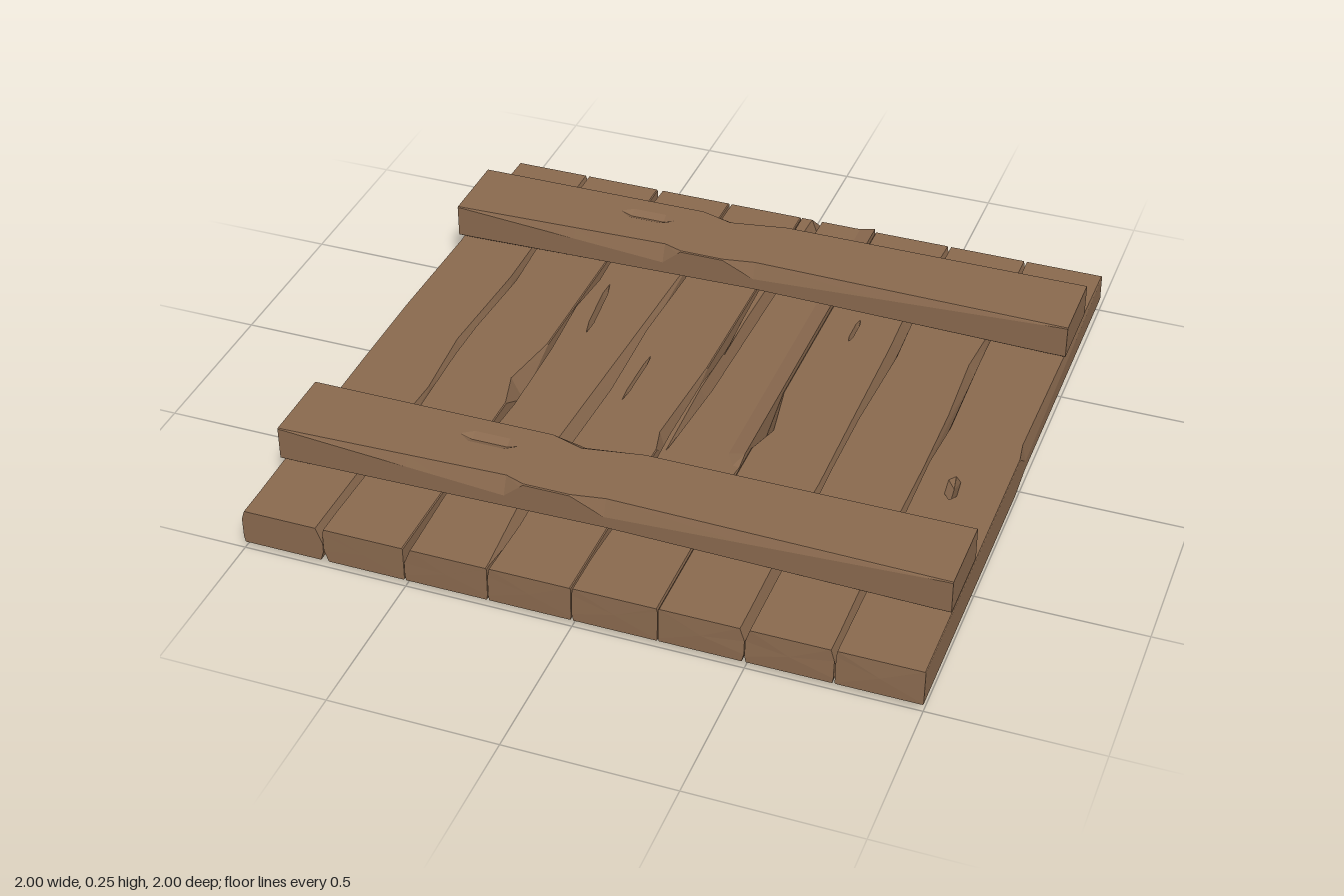
import * as THREE from 'three';

const wood = new THREE.MeshStandardMaterial({ color: 0x89694e });
wood.name = 'brownWood';

// Small seeded generator for the irregular wear
function seeded(seed) {
  let s = seed;
  return () => (s = (s * 16807) % 2147483647) / 2147483647;
}

// Linear interpolation through rows of [z, ...values], held constant beyond the ends
function sample(rows, z) {
  if (z <= rows[0][0]) return rows[0].slice(1);
  for (let i = 1; i < rows.length; i++) {
    const a = rows[i - 1], b = rows[i];
    if (z <= b[0]) {
      const t = (z - a[0]) / (b[0] - a[0]);
      return a.slice(1).map((v, k) => v + (b[k + 1] - v) * t);
    }
  }
  return rows[rows.length - 1].slice(1);
}

// One chip knocked out of an edge, fading to a sharp corner at both ends
const chip = (from, peak, to, dx, dy) => [[from, 0.003, 0.003], [peak, dx, dy], [to, 0.003, 0.003]];

// Uneven wear along a whole edge: a few long splits between nearly sharp stretches
function worn(rand, depth) {
  const rows = [];
  for (let z = -0.98; z < 1; z += 0.15 + 0.25 * rand()) {
    const d = rand() ** 2;
    rows.push([z, 0.002 + d * depth, 0.01 + Math.sqrt(d) * depth * 2]);
  }
  return rows;
}

// V-groove in the top, opening from one tip and closing at the other
const groove = (from, to, x, half, depth, drift = 0) => [
  [from, x, 0.001, 0],
  [from + (to - from) * 0.2, x + drift * 0.2, half, depth],
  [from + (to - from) * 0.8, x + drift * 0.8, half, depth],
  [to, x + drift, 0.001, 0],
];

// A hewn board along z. Corner cuts tl, tr, bl, br are rows [z, dx, dy];
// crack is rows [z, x, halfWidth, depth]; endCut slants the upper half of both ends.
function board(name, width, y0, y1, endCut, cuts) {
  const c = { crack: [[0, 0, 0.001, 0]], ...cuts };
  const stations = new Set([-1, 1]);
  for (const rows of Object.values(c)) for (const [z] of rows) if (Math.abs(z) < 1) stations.add(z);
  const zs = [...stations].sort((a, b) => a - b);
  const R = width / 2, L = -R, mid = (y0 + y1) / 2;
  const rings = zs.map((z) => {
    const [tl, tr, bl, br, [x, w, d]] =
      [c.tl, c.tr, c.bl, c.br, c.crack].map((rows) => sample(rows, z));
    const upperZ = Math.abs(z) === 1 ? z * (1 - endCut) : z;
    return [
      [L + bl[0], y0], [R - br[0], y0], [R, y0 + br[1]],
      [R, y1 - tr[1]], [R - tr[0], y1],
      [x + w, y1], [x, y1 - d], [x - w, y1],
      [L + tl[0], y1], [L, y1 - tl[1]], [L, y0 + bl[1]],
    ].map(([px, py]) => [px, py, py > mid ? upperZ : z]);
  });
  const pos = [];
  const tri = (...pts) => pts.forEach((p) => pos.push(...p));
  const n = rings[0].length, last = rings.length - 1;
  for (let i = 0; i < n; i++) {
    const j = (i + 1) % n;
    for (let k = 0; k < last; k++) {
      tri(rings[k][i], rings[k][j], rings[k + 1][j]);
      tri(rings[k][i], rings[k + 1][j], rings[k + 1][i]);
    }
    tri([0, mid, 1], rings[last][i], rings[last][j]);
    tri([0, mid, -1], rings[0][j], rings[0][i]);
  }
  const geo = new THREE.BufferGeometry();
  geo.setAttribute('position', new THREE.Float32BufferAttribute(pos, 3));
  geo.computeVertexNormals();
  const mesh = new THREE.Mesh(geo, wood);
  mesh.name = name;
  return mesh;
}

// Special damage by plank number; a negative dy is a splinter standing proud of the face
const damage = {
  1: { br: chip(0.3, 0.5, 0.7, 0.09, -0.012), tr: chip(-0.05, 0.15, 0.27, 0.036, 0.07) },
  2: { crack: groove(-0.42, -0.15, -0.07, 0.008, 0.04, 0.03), tr: chip(-0.6, 0.5, 0.98, 0.045, 0.08) },
  3: { crack: groove(-0.1, 0.14, -0.06, 0.005, 0.02), tr: chip(-0.1, 0.25, 0.33, 0.022, 0.08) },
  4: {
    crack: groove(-1.3, 0.33, -0.065, 0.018, 0.05, -0.035),
    tr: [[0.28, 0.05, -0.012], [0.36, 0.003, 0.01]],
    br: [[0.28, 0.12, -0.022], [0.33, 0.003, 0.003], [0.4, 0.12, -0.02], [0.9, 0.003, 0.003]],
  },
  5: { tl: chip(-0.06, 0.13, 0.23, 0.034, 0.07), crack: groove(-0.5, -0.38, -0.02, 0.006, 0.03) },
  7: {
    crack: groove(0.16, 0.27, -0.03, 0.018, 0.03, 0.01),
    tr: [[-1, 0.002, 0.003], [-0.05, 0.012, 0.055], [0.02, 0.002, 0.003]],
    bl: [[0.28, 0.07, -0.022], [0.33, 0.003, 0.003]],
    br: [[-0.05, 0.015, 0.022], [0.05, 0.002, 0.003]],
  },
};

// Local -x of a cross batten faces the front once it is turned to run along x
const battenCuts = {
  tl: [...chip(-0.98, -0.3, -0.24, 0.024, 0.055), ...chip(-0.1, 0, 0.98, 0.02, 0.05)],
  tr: chip(-0.25, -0.15, 0.03, 0.035, 0.025),
  bl: chip(-0.95, 0, 0.95, 0.03, 0.02),
  br: chip(-0.6, -0.15, 0.4, 0.04, 0.03),
  crack: groove(-0.5, -0.32, 0.035, 0.025, 0.012),
};

export function createModel() {
  const model = new THREE.Group();
  model.name = 'plankPlatform';

  // Eight floor planks, side by side along x
  for (let i = 0; i < 8; i++) {
    const rand = seeded(977 + i * 7919);
    const plank = board(`floorPlank${i + 1}`, i % 2 ? 0.246 : 0.25, 0.022, 0.132, rand() * 0.012, {
      tl: worn(rand, i === 0 ? 0.012 : 0.022),
      tr: worn(rand, i === 7 ? 0.012 : 0.022),
      bl: worn(rand, 0.015),
      br: worn(rand, 0.015),
      ...damage[i],
    });
    plank.position.x = i === 7 ? 0.877 : -0.875 + i * 0.25;
    model.add(plank);
  }

  // Two cross battens on top
  for (const [name, z] of [['frontBatten', 0.631], ['backBatten', -0.631]]) {
    const batten = board(name, 0.246, 0.142, 0.248, 0, battenCuts);
    batten.rotation.y = Math.PI / 2;
    batten.position.z = z;
    model.add(batten);
  }
  return model;
}
